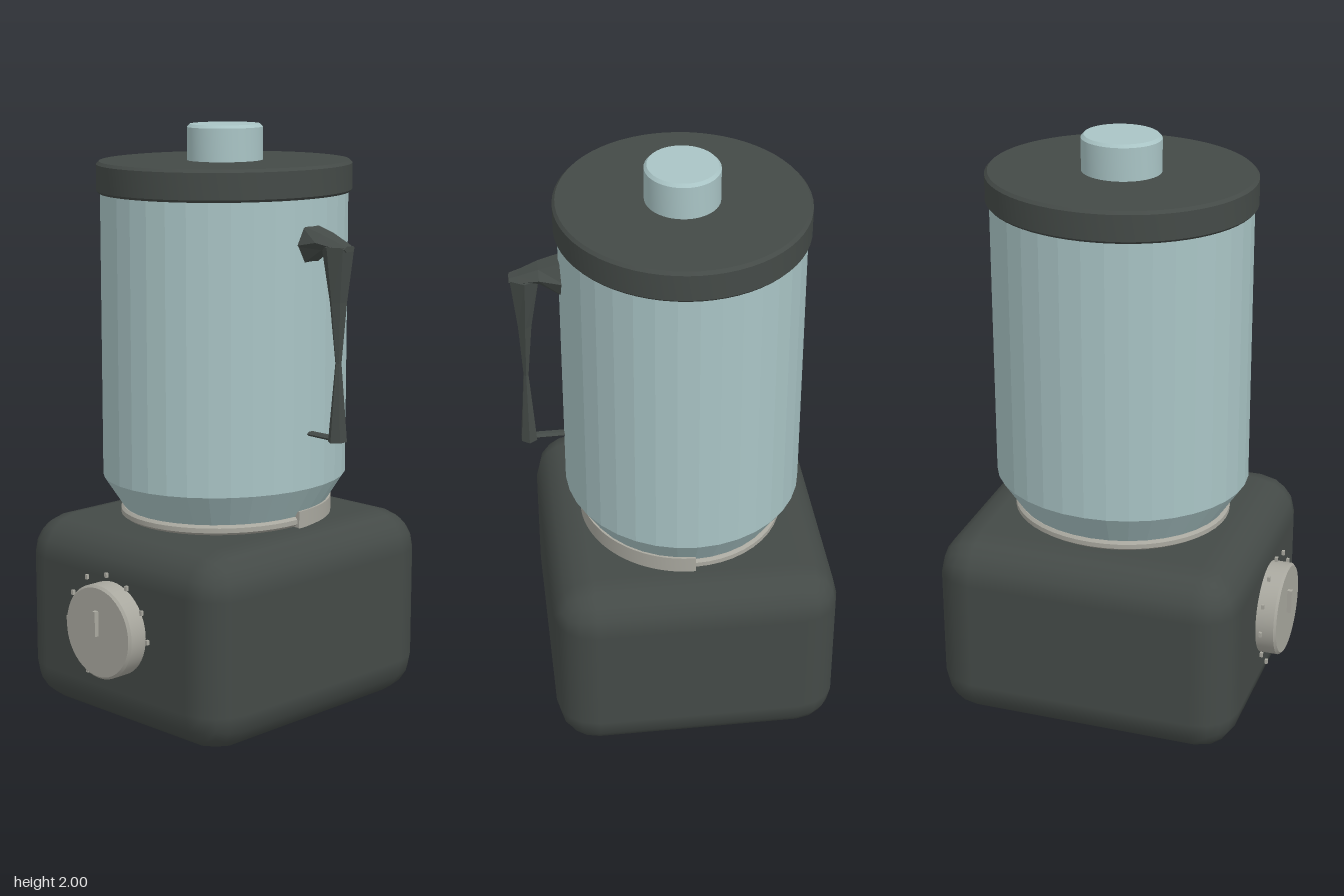
import * as THREE from 'three';
import { RoundedBoxGeometry } from 'three/addons/geometries/RoundedBoxGeometry.js';
import { toCreasedNormals } from 'three/addons/utils/BufferGeometryUtils.js';

const CX = -0.04, CZ = -0.043;
const mat = (color, flatShading = false) => new THREE.MeshStandardMaterial({ color, flatShading });
const dark = mat(0x444a47), darkFlat = mat(0x444a47, true);
const glass = mat(0xa9c4c5), glassFlat = mat(0xa9c4c5, true);
const metal = mat(0xa9a89f);

function add(parent, name, geometry, material, x = 0, y = 0, z = 0) {
  const mesh = new THREE.Mesh(geometry, material);
  mesh.name = name;
  mesh.position.set(x, y, z);
  parent.add(mesh);
  return mesh;
}

// Turned solid; profile is [radius, height] from bottom to top
function turned(profile, segments, depthScale = 1) {
  const geo = new THREE.LatheGeometry(profile.map(([r, y]) => new THREE.Vector2(r, y)), segments);
  return toCreasedNormals(geo.scale(1, 1, depthScale), 0.6);
}

// Six-sided bar running up y; stations are [y, centreX, halfX, halfZ]
function bar(stations) {
  const n = stations.length - 1;
  const geo = new THREE.CylinderGeometry(1, 1, 1, 6, n);
  const p = geo.attributes.position;
  for (let i = 0; i < p.count; i++) {
    const [y, cx, hx, hz] = stations[Math.round((p.getY(i) + 0.5) * n)];
    p.setXYZ(i, cx + p.getX(i) * hx / 0.866, y, p.getZ(i) * hz);
  }
  geo.computeVertexNormals();
  return geo;
}

export function createModel() {
  const model = new THREE.Group();
  model.name = 'blender';

  // Motor base
  add(model, 'base', new RoundedBoxGeometry(0.968, 0.667, 1.057, 2, 0.14), dark, CX, 0.3335, CZ);

  // Jar, its seat ring and lid share one slightly oval plan
  const jar = new THREE.Group();
  jar.name = 'jar';
  jar.position.set(CX, 0, CZ);
  model.add(jar);
  add(jar, 'jarBody', turned([[0, 0.66], [0.31, 0.66], [0.325, 0.69], [0.4, 0.812], [0.4, 1.8], [0, 1.8]], 36, 1.09), glassFlat);
  add(jar, 'seatRing', turned([[0.3, 0.665], [0.33, 0.668], [0.343, 0.678], [0.343, 0.694], [0.335, 0.703], [0.3, 0.703]], 48, 1.09), metal);
  add(jar, 'lid', turned([[0, 1.775], [0.405, 1.775], [0.412, 1.783], [0.412, 1.87], [0.403, 1.88], [0, 1.88]], 64, 1.09), dark);
  add(jar, 'lidCap', turned([[0, 1.87], [0.122, 1.87], [0.122, 1.99], [0.113, 2], [0, 2]], 48, 1.09), glass);

  // Raised locking rim around the back left quarter of the seat
  const arc = new THREE.Shape();
  arc.absarc(0, 0, 0.352, 0, Math.PI / 2, false);
  arc.absarc(0, 0, 0.31, Math.PI / 2, 0, true);
  const rim = new THREE.ExtrudeGeometry(arc, { depth: 0.058, bevelEnabled: false, curveSegments: 14 });
  rim.rotateX(-Math.PI / 2).scale(1, 1, 1.09);
  add(jar, 'lockingRim', toCreasedNormals(rim, 0.6), metal, 0, 0.665, 0);

  // Handle: wide upper arm, waisted grip, thin lower arm
  const handle = new THREE.Group();
  handle.name = 'handle';
  handle.position.z = CZ;
  model.add(handle);
  const upper = bar([[0.34, -1.625, 0.066, 0.067], [0.425, -1.642, 0.026, 0.058], [0.49, -1.628, 0.016, 0.04], [0.52, -1.625, 0.009, 0.026]]);
  add(handle, 'upperArm', upper.rotateZ(Math.PI / 2).scale(-1, 1, 1).rotateY(0), darkFlat);
  // Re-aim the arm without mirroring its faces
  handle.children[0].geometry = bar([[0.34, -1.625, 0.066, 0.067], [0.425, -1.642, 0.026, 0.058], [0.49, -1.628, 0.016, 0.04], [0.52, -1.625, 0.009, 0.026]]).rotateZ(-Math.PI / 2);
  handle.children[0].geometry.translate(0, 0, 0);
  add(handle, 'grip', bar([[0.99, 0.479, 0.026, 0.035], [1.25, 0.479, 0.008, 0.012], [1.45, 0.476, 0.022, 0.034], [1.63, 0.471, 0.046, 0.055]]), darkFlat);
  add(handle, 'lowerArm', bar([[0.34, -1, 0.007, 0.016], [0.5, -0.998, 0.008, 0.016]]).rotateZ(-Math.PI / 2), darkFlat);

  // Control knob with pointer
  const control = new THREE.Group();
  control.name = 'control';
  control.position.set(CX, 0.357, 0);
  model.add(control);
  const knob = turned([[0, 0.47], [0.16, 0.47], [0.16, 0.548], [0.152, 0.556], [0, 0.556]], 48);
  add(control, 'knob', knob.rotateX(Math.PI / 2), metal);
  add(control, 'knobPointer', new THREE.BoxGeometry(0.014, 0.086, 0.03), metal, 0, 0.032, 0.557);

  // Setting marks around the knob
  for (let i = 0; i < 9; i++) {
    const a = i * Math.PI / 6;
    add(control, 'settingMark', new THREE.BoxGeometry(0.01, 0.016, 0.01), metal, 0.195 * Math.cos(a), 0.188 * Math.sin(a), 0.512);
  }
  return model;
}
